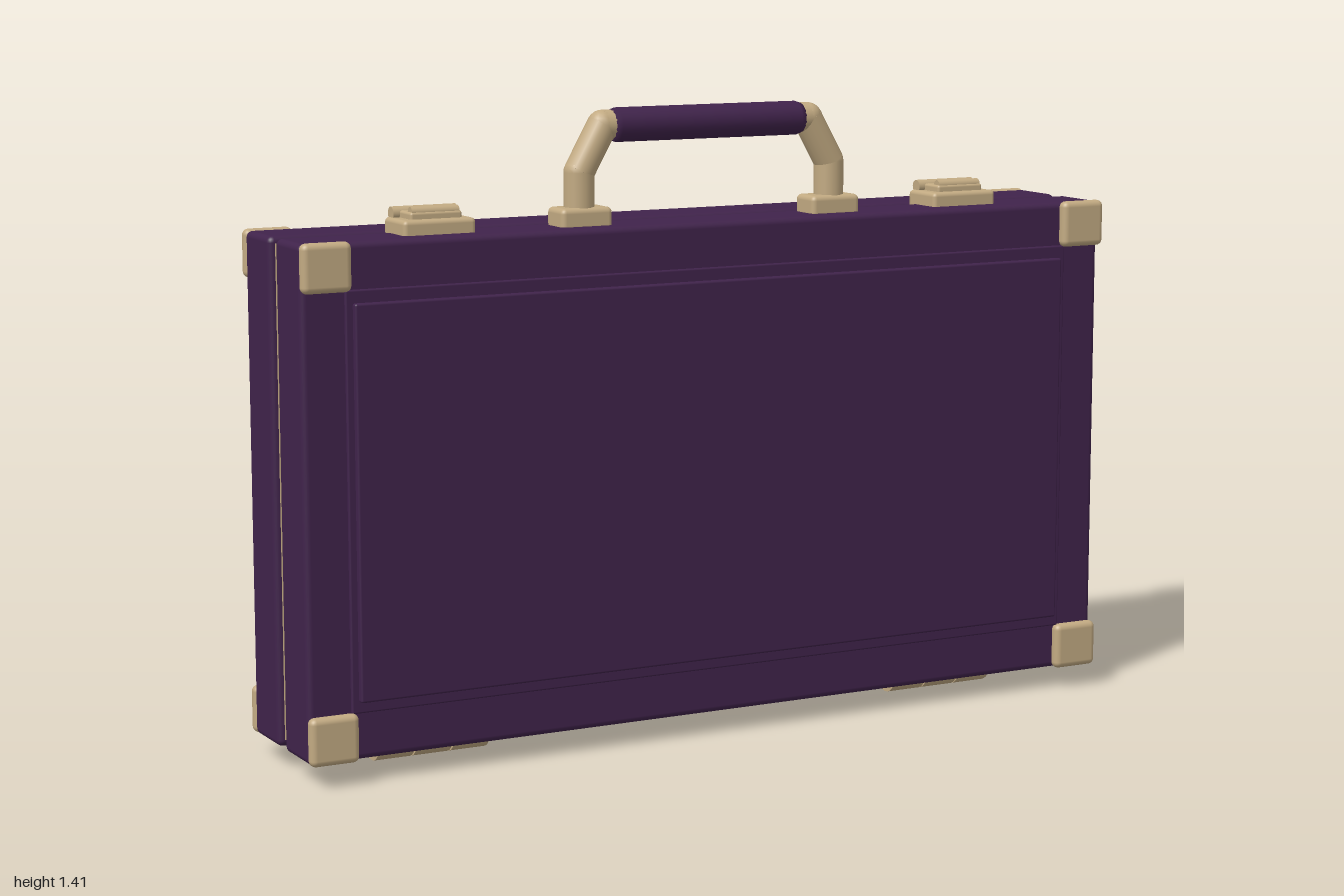
import * as THREE from 'three';
import { RoundedBoxGeometry } from 'three/addons/geometries/RoundedBoxGeometry.js';

export function createModel() {
  const model = new THREE.Group();
  model.name = 'briefcase';
  const leather = new THREE.MeshStandardMaterial({ name: 'purple leather', color: 0x40234b });
  const brass = new THREE.MeshStandardMaterial({ name: 'pale brass', color: 0xc2aa82 });

  const add = (parent, name, geometry, material, x, y, z) => {
    const mesh = new THREE.Mesh(geometry, material);
    mesh.name = name;
    mesh.position.set(x, y, z);
    parent.add(mesh);
    return mesh;
  };
  // Rounded box given by its limits on each axis
  const box = (parent, name, material, [x0, x1], [y0, y1], [z0, z1], radius) =>
    add(parent, name, new RoundedBoxGeometry(x1 - x0, y1 - y0, z1 - z0, 3, radius), material,
      (x0 + x1) / 2, (y0 + y1) / 2, (z0 + z1) / 2);
  const rodX = (parent, name, material, radius, length, x, y, z, sides = 24) => {
    const mesh = add(parent, name, new THREE.CylinderGeometry(radius, radius, length, sides), material, x, y, z);
    mesh.rotation.z = Math.PI / 2;
    return mesh;
  };
  // Cylinder between two points
  const strut = (parent, name, material, a, b, radius) => {
    const dir = b.clone().sub(a);
    const mid = a.clone().add(b).multiplyScalar(0.5);
    const mesh = add(parent, name, new THREE.CylinderGeometry(radius, radius, dir.length(), 16), material, mid.x, mid.y, mid.z);
    mesh.quaternion.setFromUnitVectors(new THREE.Vector3(0, 1, 0), dir.normalize());
  };

  // Two half shells; the back one is the front one turned around, with rivets
  for (const back of [false, true]) {
    const half = new THREE.Group();
    half.name = back ? 'backShell' : 'frontShell';
    if (back) half.rotation.y = Math.PI;
    model.add(half);
    box(half, 'shell', leather, [-1, 1], [0.05, 1.16], [0.018, 0.158], 0.014);
    box(half, 'panelBorder', leather, [-0.902, 0.902], [0.153, 1.06], [0.14, 0.165], 0.004);
    box(half, 'raisedPanel', leather, [-0.886, 0.886], [0.178, 1.032], [0.15, 0.179], 0.005);
    box(half, 'innerRim', brass, [-0.985, 0.985], [0.065, 1.145], [0.0165, 0.022], 0.001);
    for (const sx of [-1, 1]) {
      for (const y of [0.103, 1.11]) {
        box(half, 'cornerGuard', brass, [sx * 0.946 - 0.056, sx * 0.946 + 0.056],
          [y - 0.053, y + 0.053], [0.15, 0.181], 0.014);
        if (back) {
          const rivet = add(half, 'rivet', new THREE.SphereGeometry(0.02, 16, 10), brass, sx * 0.946, y, 0.18);
          rivet.scale.z = 0.3;
        }
      }
    }
  }

  // Handle: grip with a bent arm on each side
  const handle = new THREE.Group();
  handle.name = 'handle';
  model.add(handle);
  const hz = 0.075;
  const profile = [[0, -0.24], [0.033, -0.24], [0.038, -0.225], [0.038, 0.225], [0.033, 0.24], [0, 0.24]]
    .map(([r, l]) => new THREE.Vector2(r, l));
  add(handle, 'grip', new THREE.LatheGeometry(profile, 24), leather, 0, 1.375, hz).rotation.z = Math.PI / 2;
  for (const s of [-1, 1]) {
    box(handle, 'handleBase', brass, [s * 0.313 - 0.062, s * 0.313 + 0.062], [1.15, 1.2], [0.035, 0.115], 0.012);
    const path = [[0.315, 1.17], [0.315, 1.275], [0.258, 1.375], [0.232, 1.375]]
      .map(([x, y]) => new THREE.Vector3(s * x, y, hz));
    for (let i = 0; i < path.length - 1; i++) {
      strut(handle, 'handleArm', brass, path[i], path[i + 1], 0.034);
      if (i) add(handle, 'armJoint', new THREE.SphereGeometry(0.034, 16, 12), brass, path[i].x, path[i].y, hz);
    }
  }

  for (const s of [-1, 1]) {
    // Latch: base plate, strap reaching over the gap, lever and pivots
    const latch = new THREE.Group();
    latch.name = 'latch';
    latch.position.x = s * 0.66;
    model.add(latch);
    box(latch, 'latchPlate', brass, [-0.084, 0.084], [1.15, 1.192], [0, 0.11], 0.01);
    box(latch, 'latchHook', brass, [-0.078, 0.078], [1.137, 1.19], [-0.012, 0.025], 0.01);
    box(latch, 'latchLever', brass, [-0.06, 0.06], [1.185, 1.207], [0.02, 0.09], 0.006);
    rodX(latch, 'latchPivot', brass, 0.015, 0.15, 0, 1.2, 0.018, 16);
    rodX(latch, 'latchGrip', brass, 0.012, 0.11, 0, 1.206, 0.075, 16);

    // Hinge barrel of three knuckles around a pin
    const hinge = new THREE.Group();
    hinge.name = 'hinge';
    hinge.position.x = s * 0.658;
    model.add(hinge);
    for (const k of [-1, 0, 1]) rodX(hinge, 'hingeKnuckle', brass, 0.042, 0.086, k * 0.09, 0.042, 0, 24);
    rodX(hinge, 'hingePin', brass, 0.037, 0.26, 0, 0.042, 0);
  }
  return model;
}
